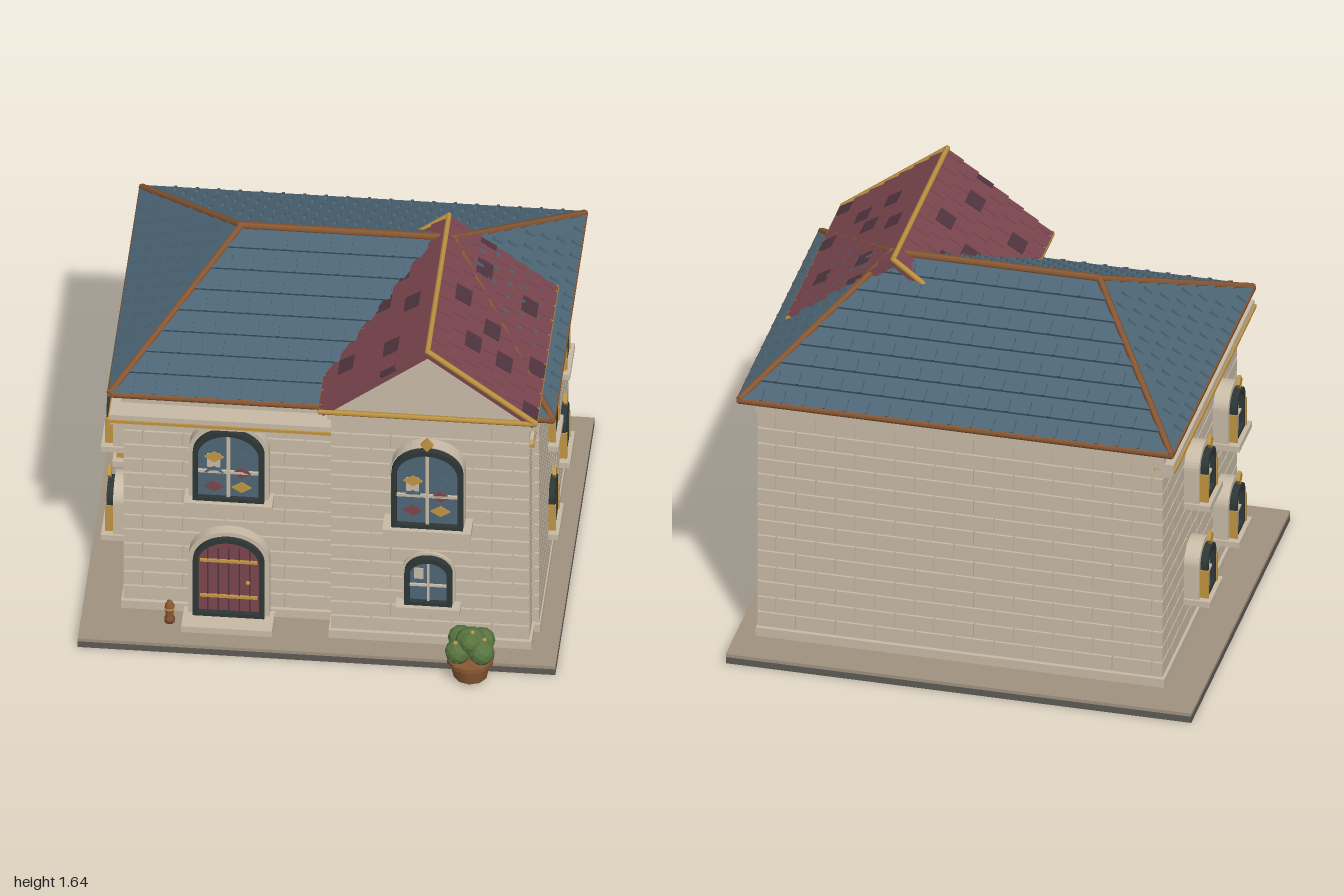
import * as THREE from 'three';
import { mergeGeometries } from 'three/addons/utils/BufferGeometryUtils.js';

const mat = (name, color, extra = {}) => {
  const m = new THREE.MeshStandardMaterial({ color, ...extra });
  m.name = name;
  return m;
};
const M = {
  stone: mat('stone', 0xc8bba6),
  slate: mat('slate blue', 0x4d6575),
  copper: mat('copper brown', 0x8a5833),
  gold: mat('gold', 0xbf9442),
  red: mat('brick red', 0x7a454d),
  plum: mat('plum', 0x50343f),
  dark: mat('charcoal', 0x2d3636),
  green: mat('leaf green', 0x587540, { flatShading: true }),
  paving: mat('paving', 0xa09280),
  base: mat('base grey', 0x5e5b55),
};
const V = (x, y, z) => new THREE.Vector3(x, y, z);

function add(parent, geo, material, name, x = 0, y = 0, z = 0) {
  const m = new THREE.Mesh(geo, material);
  m.name = name;
  m.position.set(x, y, z);
  parent.add(m);
  return m;
}
// box given by its limits on each axis
function boxGeo(x0, x1, y0, y1, z0, z1) {
  return new THREE.BoxGeometry(x1 - x0, y1 - y0, z1 - z0)
    .translate((x0 + x1) / 2, (y0 + y1) / 2, (z0 + z1) / 2);
}
const box = (p, m, name, ...b) => add(p, boxGeo(...b), m, name);

// straight round trim between two points
function beam(p, a, b, r, m, name) {
  const d = b.clone().sub(a);
  const mesh = add(p, new THREE.CylinderGeometry(r, r, d.length() + r, 6), m, name);
  mesh.position.copy(a).add(b).multiplyScalar(0.5);
  mesh.quaternion.setFromUnitVectors(V(0, 1, 0), d.normalize());
}
// group whose x runs along u, y along v and z outward
function frame(p, name, origin, u, v) {
  const g = new THREE.Group();
  g.name = name;
  u.normalize(); v.normalize();
  g.quaternion.setFromRotationMatrix(new THREE.Matrix4().makeBasis(u, v, u.clone().cross(v)));
  g.position.copy(origin);
  p.add(g);
  return g;
}

function arch(C, w, h, y0 = 0) {
  const s = new C(), rise = Math.min(w * 0.42, h * 0.4);
  s.moveTo(-w / 2, y0);
  s.lineTo(w / 2, y0);
  s.lineTo(w / 2, h - rise);
  s.absellipse(0, h - rise, w / 2, rise, 0, Math.PI, false);
  s.lineTo(-w / 2, y0);
  return s;
}
function archGeo(w, h, depth, border = 0) {
  const s = arch(THREE.Shape, w, h);
  if (border) s.holes.push(arch(THREE.Path, w - 2 * border, h - border, border));
  return new THREE.ExtrudeGeometry(s, { depth, bevelEnabled: false, curveSegments: 10 });
}
function diamond(p, m, name, x, y, z, w, h, d = 0.006) {
  const s = new THREE.Shape([[0, -h], [w, 0], [0, h], [-w, 0]].map(q => new THREE.Vector2(...q)));
  add(p, new THREE.ExtrudeGeometry(s, { depth: d, bevelEnabled: false }), m, name, x, y, z);
}

// arched window facing +z, standing on its sill
function archWindow(p, name, w, h, { margin = 0.02, depth = 0.08, stained = 0, ornament = 0, strips = 0 }) {
  const g = new THREE.Group();
  g.name = name;
  p.add(g);
  add(g, archGeo(w + 2 * margin, h + margin, depth - 0.035), M.stone, 'surround');
  add(g, archGeo(w, h, 0.03, 0.022), M.dark, 'frame', 0, 0, depth - 0.035);
  add(g, archGeo(w - 0.03, h - 0.015, 0.008), M.slate, 'glass', 0, 0, depth - 0.035);
  const z = depth - 0.027, b = w > 0.22 ? 0.007 : 0.005, my = h * 0.41;
  box(g, M.stone, 'mullion', -b, b, 0.02, h - 0.03, z, z + 0.01);
  box(g, M.stone, 'transom', -w / 2 + 0.02, w / 2 - 0.02, my - b, my + b, z, z + 0.01);
  box(g, M.stone, 'sill', -w / 2 - 0.035, w / 2 + 0.035, -0.022, 0.005, 0, depth + 0.015);
  if (stained) {
    const cols = [[M.red, M.slate, M.gold], [M.gold, M.red, M.slate]];
    box(g, M.stone, 'paleBanner', -0.09, -0.035, my + 0.02, my + 0.09, z, z + 0.004);
    cols.forEach((c, i) => c.forEach((m, j) => diamond(g, m, 'stainedDiamond',
      i ? 0.055 : -0.06, my + (j - 1) * 0.077, z + 0.004, 0.042, 0.027)));
  } else {
    box(g, M.stone, 'palePane', -w * 0.3, -w * 0.1, my + 0.03, my + 0.085, z, z + 0.004);
  }
  if (strips) for (const s of [-1, 1]) {
    box(g, M.gold, 'sideStrip', s * w / 2 - 0.006, s * w / 2 + 0.006, 0, h * 0.62, depth - 0.035, depth);
  }
  if (ornament) diamond(g, M.gold, 'goldOrnament', 0, h + 0.035, depth - 0.02, 0.027, 0.033, 0.015);
  return g;
}

// staggered raised stone blocks on a wall of the given size
function bricks(p, name, origin, u, width, height) {
  const g = frame(p, name, origin, u, V(0, 1, 0)), parts = [], n = Math.round(height / 0.072), ch = height / n;
  for (let i = 0; i < n; i++) {
    for (let x = i % 2 ? -0.085 : 0; x < width - 0.01; x += 0.17) {
      const a = Math.max(x, 0), b = Math.min(x + 0.162, width);
      if (b - a > 0.01) parts.push(boxGeo(a, b, i * ch, (i + 1) * ch - 0.008, -0.01, 0.01));
    }
  }
  add(g, mergeGeometries(parts), M.stone, 'blocks');
}

// stepped slate courses; the slope narrows by inset at each end
function slateSlope(p, name, origin, u, v, width, inset) {
  const L = v.length(), g = frame(p, name, origin, u, v), pos = [], ribs = [], n = 8;
  const quad = (a, b, c, d) => pos.push(...a, ...b, ...c, ...a, ...c, ...d);
  for (let i = 0; i < n; i++) {
    const y0 = L * i / n, y1 = L * (i + 1) / n, a0 = inset * i / n, a1 = inset * (i + 1) / n;
    quad([a0, y0, 0.016], [width - a0, y0, 0.016], [width - a1, y1, 0.003], [a1, y1, 0.003]);
    quad([a0, y0, 0], [width - a0, y0, 0], [width - a0, y0, 0.016], [a0, y0, 0.016]);
    for (let x = (i % 2 ? 0.045 : 0.09); x < width; x += 0.09) {
      if (x > a1 + 0.01 && x < width - a1 - 0.01)
        ribs.push(boxGeo(x - 0.006, x + 0.006, y0, y0 + (y1 - y0) * 0.6, 0, 0.021));
    }
  }
  const geo = new THREE.BufferGeometry();
  geo.setAttribute('position', new THREE.Float32BufferAttribute(pos, 3));
  geo.computeVertexNormals();
  add(g, geo, M.slate, 'courses');
  add(g, mergeGeometries(ribs), M.slate, 'tileRibs');
}

// gable slope with two-tone shingles
function shingleSlope(p, name, origin, u, v, width) {
  const L = v.length(), g = frame(p, name, origin, u, v), sets = [[], []], n = 7, h = L / n;
  let seed = 7;
  const rnd = () => (seed = (seed * 16807) % 2147483647) / 2147483647;
  box(g, M.red, 'deck', 0, width, 0, L, -0.022, 0);
  for (let i = 0; i < n; i++) for (let x = i % 2 ? -0.05 : 0; x < width; x += 0.1) {
    const a = Math.max(x, 0), b = Math.min(x + 0.094, width);
    if (b - a < 0.01) continue;
    const t = boxGeo(a, b, 0, h, -0.005, 0.007).rotateX(-0.09).translate(0, i * h, 0.008);
    sets[rnd() < 0.22 ? 1 : 0].push(t);
  }
  add(g, mergeGeometries(sets[0]), M.red, 'redShingles');
  add(g, mergeGeometries(sets[1]), M.plum, 'plumShingles');
}

export function createModel() {
  const house = new THREE.Group();
  house.name = 'house';

  // ground slab
  box(house, M.base, 'slab', -1, 1, 0, 0.03, -0.925, 0.775);
  box(house, M.paving, 'paving', -1, 1, 0.03, 0.045, -0.925, 0.775);

  // main block and front bay
  box(house, M.stone, 'mainWalls', -0.82, 0.9, 0.045, 1.2, -0.73, 0.53);
  box(house, M.stone, 'bayWalls', 0.06, 0.87, 0.045, 1.26, 0.5, 0.65);
  box(house, M.stone, 'mainPlinth', -0.84, 0.915, 0.045, 0.085, -0.75, 0.55);
  box(house, M.stone, 'bayPlinth', 0.04, 0.89, 0.045, 0.085, 0.5, 0.67);
  box(house, M.stone, 'mainFrieze', -0.84, 0.915, 1.13, 1.18, -0.755, 0.55);
  box(house, M.stone, 'bayFrieze', 0.035, 0.9, 1.2, 1.265, 0.5, 0.675);
  bricks(house, 'frontBlocks', V(-0.83, 0.09, 0.53), V(1, 0, 0), 0.88, 1.04);
  bricks(house, 'bayBlocks', V(0.05, 0.09, 0.65), V(1, 0, 0), 0.83, 1.11);
  bricks(house, 'bayRightBlocks', V(0.87, 0.09, 0.66), V(0, 0, -1), 0.12, 1.11);
  bricks(house, 'bayLeftBlocks', V(0.06, 0.09, 0.54), V(0, 0, 1), 0.12, 1.11);
  bricks(house, 'rightBlocks', V(0.9, 0.09, 0.54), V(0, 0, -1), 1.28, 1.04);
  bricks(house, 'backBlocks', V(0.91, 0.09, -0.73), V(-1, 0, 0), 1.74, 1.04);
  bricks(house, 'leftBlocks', V(-0.82, 0.09, -0.74), V(0, 0, 1), 1.28, 1.04);

  // cornice with gold band and dentils, front and left
  for (const [name, b] of [['frontCornice', [-0.88, 0.895, 0.53, 0.64]], ['leftCornice', [-0.88, -0.8, -0.75, 0.64]]]) {
    const [x0, x1, z0, z1] = b;
    box(house, M.stone, name, x0, x1, 1.08, 1.13, z0, z1);
    box(house, M.gold, name + 'GoldBand', x0 - 0.008, x1 + 0.004, 1.092, 1.106, z0, z1 + 0.006);
  }
  const dentils = [];
  for (let x = -0.86; x < 0.03; x += 0.06) dentils.push(boxGeo(x, x + 0.03, 1.05, 1.08, 0.53, 0.6));
  for (let z = -0.72; z < 0.55; z += 0.06) dentils.push(boxGeo(-0.865, -0.81, 1.05, 1.08, z, z + 0.03));
  add(house, mergeGeometries(dentils), M.stone, 'dentils');

  // hipped slate roof
  const c = [V(-0.88, 1.21, 0.6), V(0.97, 1.21, 0.6), V(0.97, 1.21, -0.8), V(-0.88, 1.21, -0.8)];
  const r0 = V(-0.4, 1.585, -0.1), r1 = V(0.49, 1.585, -0.1);
  box(house, M.slate, 'soffit', -0.88, 0.97, 1.195, 1.21, -0.8, 0.6);
  slateSlope(house, 'frontSlope', c[0], V(1, 0, 0), V(0, 0.375, -0.7), 1.85, 0.48);
  slateSlope(house, 'backSlope', c[2], V(-1, 0, 0), V(0, 0.375, 0.7), 1.85, 0.48);
  slateSlope(house, 'rightSlope', c[1], V(0, 0, -1), V(-0.48, 0.375, 0), 1.4, 0.7);
  slateSlope(house, 'leftSlope', c[3], V(0, 0, 1), V(0.48, 0.375, 0), 1.4, 0.7);
  c.forEach((p, i) => {
    beam(house, p, c[(i + 1) % 4], 0.016, M.copper, 'eaveTrim');
    beam(house, V(0, 0.008, 0).add(p), V(0, 0.008, 0).add(i === 0 || i === 3 ? r0 : r1), 0.015, M.copper, 'hipTrim');
  });
  beam(house, V(-0.4, 1.595, -0.1), V(0.49, 1.595, -0.1), 0.016, M.copper, 'ridgeTrim');

  // shingled gable over the bay
  shingleSlope(house, 'gableRightSlope', V(0.91, 1.27, 0.72), V(0, 0, -1), V(-0.45, 0.345, 0), 0.93);
  shingleSlope(house, 'gableLeftSlope', V(0.01, 1.27, -0.21), V(0, 0, 1), V(0.45, 0.345, 0), 0.93);
  const tri = new THREE.Shape([V(0.03, 1.262, 0), V(0.89, 1.262, 0), V(0.46, 1.598, 0)]);
  add(house, new THREE.ExtrudeGeometry(tri, { depth: 0.2, bevelEnabled: false }), M.stone, 'pediment', 0, 0, 0.505);
  const trims = [[[0.46, 1.625, 0.72], [0.46, 1.625, -0.21]], [[0.91, 1.275, 0.72], [0.91, 1.275, -0.21]],
    [[0.01, 1.275, 0.72], [0.01, 1.275, -0.21]], [[0.01, 1.275, 0.72], [0.91, 1.275, 0.72]],
    [[0.46, 1.625, 0.72], [0.91, 1.28, 0.72]], [[0.46, 1.625, -0.21], [0.01, 1.28, -0.21]]];
  trims.forEach(([a, b]) => beam(house, V(...a), V(...b), 0.012, M.gold, 'gableTrim'));

  // front windows
  archWindow(house, 'upperLeftWindow', 0.3, 0.37, { margin: 0.018, depth: 0.085, stained: 1 })
    .position.set(-0.385, 0.685, 0.54);
  archWindow(house, 'bayUpperWindow', 0.3, 0.41, { margin: 0.004, depth: 0.095, stained: 1, ornament: 1 })
    .position.set(0.46, 0.705, 0.66);
  archWindow(house, 'bayLowerWindow', 0.2, 0.25, { margin: 0.01, depth: 0.05 }).position.set(0.46, 0.265, 0.66);

  // side windows
  for (const y of [0.255, 0.72]) {
    for (const z of [0.05, -0.44]) {
      const w = archWindow(house, 'rightWindow', 0.15, 0.22, { margin: 0.01, depth: 0.035, ornament: 1, strips: 1 });
      w.position.set(0.905, y, z);
      w.rotation.y = Math.PI / 2;
    }
    for (const z of [0.23, -0.27]) {
      const w = archWindow(house, 'leftWindow', 0.15, 0.22, { margin: 0.025, depth: 0.1, ornament: 1, strips: 1 });
      w.position.set(-0.83, y, z);
      w.rotation.y = -Math.PI / 2;
    }
  }

  // door with planks, straps and step
  const door = new THREE.Group();
  door.name = 'door';
  door.position.set(-0.385, 0.07, 0.54);
  house.add(door);
  add(door, archGeo(0.34, 0.435, 0.05, 0.02), M.stone, 'doorSurround');
  add(door, archGeo(0.3, 0.415, 0.07, 0.022), M.dark, 'doorFrame');
  add(door, archGeo(0.27, 0.4, 0.045), M.red, 'doorLeaf');
  for (let i = -2; i <= 2; i++) box(door, M.plum, 'plankGap', i * 0.044 - 0.003, i * 0.044 + 0.003, 0.02, 0.35, 0.045, 0.05);
  for (const y of [0.1, 0.285]) box(door, M.gold, 'strap', -0.12, 0.12, y - 0.006, y + 0.006, 0.045, 0.056);
  add(door, new THREE.SphereGeometry(0.01, 8, 6), M.gold, 'knob', 0.08, 0.18, 0.056);
  box(door, M.stone, 'doorStep', -0.19, 0.19, -0.025, 0.005, 0, 0.15);

  // small post beside the door
  const post = [[0, 0], [0.022, 0], [0.022, 0.02], [0.016, 0.03], [0.02, 0.07], [0.02, 0.085], [0.01, 0.105], [0, 0.11]];
  add(house, new THREE.LatheGeometry(post.map(q => new THREE.Vector2(...q)), 10), M.copper, 'post', -0.63, 0.045, 0.62);
  add(house, new THREE.TorusGeometry(0.019, 0.005, 6, 12).rotateX(Math.PI / 2), M.gold, 'postRing', -0.63, 0.115, 0.62);

  // potted bush
  const bush = new THREE.Group();
  bush.name = 'pottedBush';
  bush.position.set(0.65, 0.018, 0.825);
  house.add(bush);
  add(bush, new THREE.CylinderGeometry(0.09, 0.072, 0.085, 10), M.copper, 'pot', 0, 0.043, 0);
  add(bush, new THREE.CylinderGeometry(0.1, 0.1, 0.02, 10), M.copper, 'potRim', 0, 0.085, 0);
  for (const [x, y, z, r] of [[0, 0.17, 0, 0.068], [-0.05, 0.14, 0.03, 0.055], [0.05, 0.145, 0.035, 0.055],
    [0.045, 0.15, -0.045, 0.055], [-0.045, 0.155, -0.045, 0.055], [0, 0.19, 0.03, 0.045]])
    add(bush, new THREE.IcosahedronGeometry(r, 1), M.green, 'foliage', x, y, z);
  for (const [x, y, z] of [[0.01, 0.235, 0.02], [0.06, 0.2, 0.02], [-0.06, 0.19, 0.04]])
    add(bush, new THREE.SphereGeometry(0.01, 8, 6), M.gold, 'bud', x, y, z);
  return house;
}
